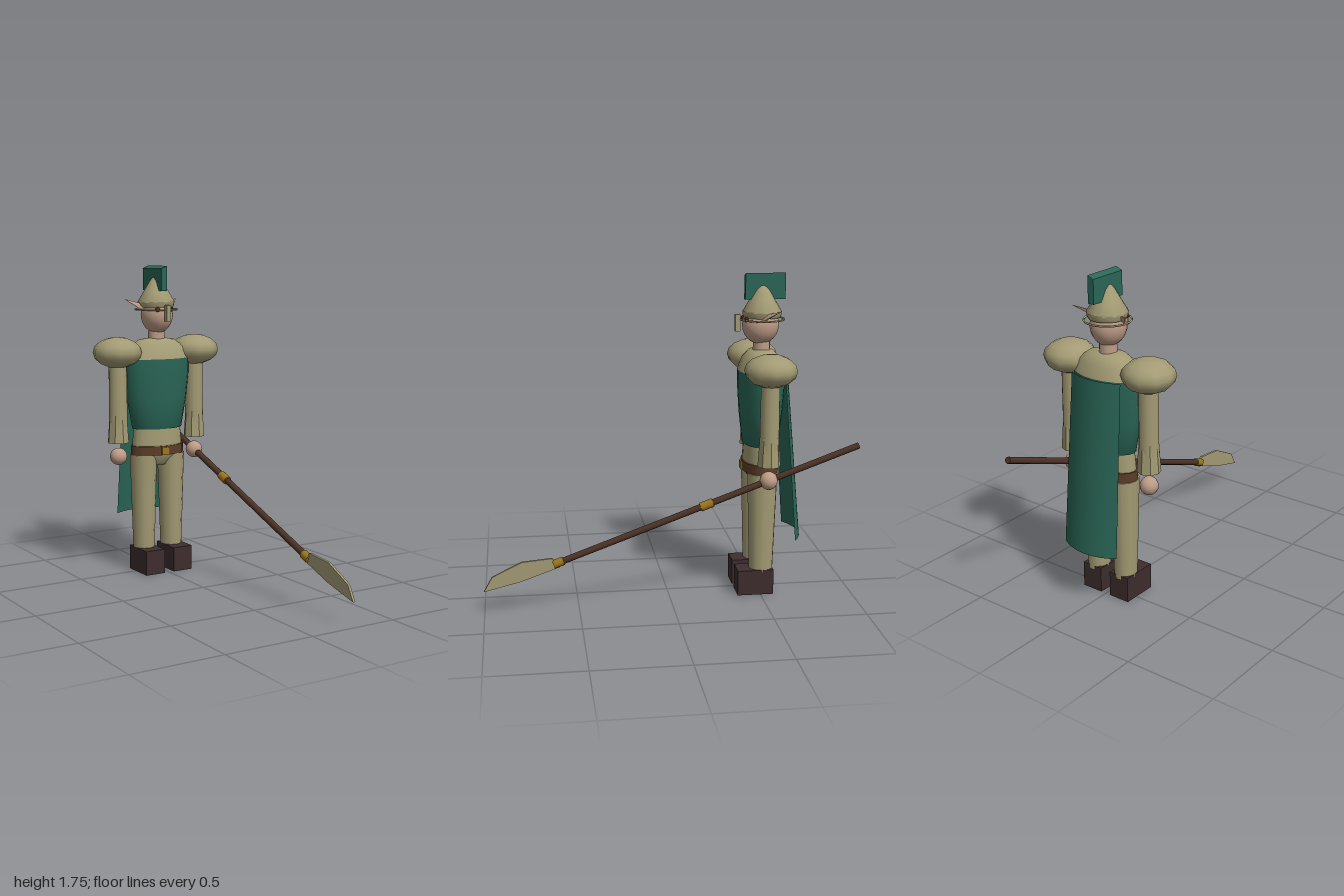
import * as THREE from 'three';

const mat = (name, color, side = THREE.FrontSide) => {
  const m = new THREE.MeshStandardMaterial({ color, side });
  m.name = name;
  return m;
};

export function createModel() {
  const armour = mat('khaki armour', 0xa39b74);
  const teal = mat('teal cloth', 0x2a6656, THREE.DoubleSide);
  const skin = mat('skin', 0xbd9c86);
  const boot = mat('dark boot leather', 0x3d2d2e);
  const leather = mat('brown belt leather', 0x5c3d28);
  const wood = mat('dark wood', 0x4b3226);
  const gold = mat('gold', 0x9c761c);
  const eyeRed = mat('dark red eye', 0x4c1d18);

  const model = new THREE.Group();
  const body = new THREE.Group();
  body.name = 'figure';
  body.position.z = -0.51;
  model.add(body);

  const add = (parent, name, geo, material, x = 0, y = 0, z = 0) => {
    const mesh = new THREE.Mesh(geo, material);
    mesh.name = name;
    mesh.position.set(x, y, z);
    parent.add(mesh);
    return mesh;
  };
  const lathe = (points, depth, sides = 20) =>
    new THREE.LatheGeometry(points.map(p => new THREE.Vector2(...p)), sides).scale(1, 1, depth);
  const tube = (top, bottom, y0, y1, sides = 12) =>
    new THREE.CylinderGeometry(top, bottom, y1 - y0, sides).translate(0, (y0 + y1) / 2, 0);

  // Torso, from hips to collar
  add(body, 'pelvis', lathe([[0, 0.615], [0.08, 0.617], [0.082, 0.63], [0.135, 0.67], [0.152, 0.74]], 0.63), armour);
  add(body, 'abdomen', lathe([[0.155, 0.72], [0.145, 0.84]], 0.6), armour);
  add(body, 'breastplate', lathe([[0.1, 0.83], [0.153, 0.83], [0.184, 1.0], [0.2, 1.15], [0.2, 1.23]], 0.62), teal);
  add(body, 'collar', lathe([[0.2, 1.23], [0.165, 1.295], [0.11, 1.335], [0.04, 1.345]], 0.62), armour);
  add(body, 'belt', tube(0.163, 0.163, 0.68, 0.732, 20).scale(1, 1, 0.61), leather);
  add(body, 'buckle', new THREE.BoxGeometry(0.05, 0.042, 0.02), gold, 0, 0.704, 0.096);

  // Limbs, mirrored
  for (const s of [1, -1]) {
    const side = s > 0 ? 'left' : 'right';
    add(body, side + 'Leg', tube(0.076, 0.06, 0.12, 0.68), armour, s * 0.09).scale.z = 1.09;
    add(body, side + 'Boot', new THREE.BoxGeometry(0.12, 0.14, 0.198), boot, s * 0.09, 0.07, 0.038);
    add(body, side + 'Arm', tube(0.05, 0.053, 0.77, 1.25), armour, s * 0.25);
    const cuff = tube(0.05, 0.062, 0.76, 0.93, 8).toNonIndexed();
    cuff.computeVertexNormals();
    add(body, side + 'Cuff', cuff, armour, s * 0.25);
    add(body, side + 'Hand', new THREE.SphereGeometry(0.049, 12, 10), skin, s * 0.25, 0.68);
    add(body, side + 'Pauldron', new THREE.SphereGeometry(0.14, 10, 8).scale(0.99, 0.62, 1), armour, s * 0.252, 1.27);

    // Swept back pointed ear
    const ear = add(body, side + 'Ear', new THREE.ConeGeometry(0.024, 0.13, 6).scale(1, 1, 0.4), skin, s * 0.125, 1.54, -0.03);
    ear.quaternion.setFromUnitVectors(new THREE.Vector3(0, 1, 0), new THREE.Vector3(s * 0.09, 0.05, -0.08).normalize());
    add(body, side + 'Eye', new THREE.SphereGeometry(0.014, 8, 6), eyeRed, s * 0.043, 1.508, 0.092);
  }

  // Head
  add(body, 'neck', tube(0.045, 0.048, 1.31, 1.41), skin);
  add(body, 'head', new THREE.SphereGeometry(0.1, 16, 12).scale(0.9, 1.07, 1), skin, 0, 1.477, 0.007);

  // Helmet
  add(body, 'helmetBand', lathe([[0.094, 1.515], [0.101, 1.53], [0.104, 1.55]], 1.03, 16), armour);
  add(body, 'helmetCone', lathe([[0.09, 1.543], [0.107, 1.545], [0.07, 1.608], [0.036, 1.665], [0, 1.705]], 1, 12), armour);
  add(body, 'helmetRim', new THREE.TorusGeometry(0.119, 0.005, 6, 24).rotateX(Math.PI / 2), armour, 0, 1.505);
  add(body, 'noseGuard', new THREE.BoxGeometry(0.024, 0.09, 0.028), armour, 0, 1.487, 0.131);

  // Crest with a slanted top edge
  const crest = new THREE.Shape([[-0.018, 1.61], [0.018, 1.61], [0.018, 1.75], [-0.018, 1.735]].map(p => new THREE.Vector2(...p)));
  add(body, 'crest', new THREE.ExtrudeGeometry(crest, { depth: 0.216, bevelEnabled: false }), teal, 0, 0, -0.122);

  // Cape: a curved sheet that widens and swings back toward the hem
  const cape = new THREE.PlaneGeometry(2, 1, 14, 4);
  const pos = cape.attributes.position;
  for (let i = 0; i < pos.count; i++) {
    const u = pos.getX(i), t = 0.5 - pos.getY(i);
    const width = 0.156 + 0.016 * t;
    const bulge = (0.04 + 0.014 * t) * (1 - u * u);
    pos.setXYZ(i, -u * width, 1.23 - 0.92 * t, -0.1 - 0.072 * t - bulge);
  }
  cape.computeVertexNormals();
  add(body, 'cape', cape, teal);

  // Spear, held low in the left hand, along its own z axis
  const spear = new THREE.Group();
  spear.name = 'spear';
  spear.position.set(0.25, 0.68, -0.51);
  spear.rotation.x = Math.PI / 9;
  model.add(spear);
  const rod = (name, radius, z0, z1, material) =>
    add(spear, name, tube(radius, radius, z0, z1, 8).rotateX(Math.PI / 2), material);
  rod('shaft', 0.018, -0.515, 1.18, wood);
  rod('middleRing', 0.025, 0.317, 0.387, gold);
  rod('headSocket', 0.024, 1.16, 1.215, gold);
  const blade = new THREE.Shape([[1.19, -0.024], [1.402, -0.022], [1.607, 0], [1.538, 0.059], [1.366, 0.077], [1.211, 0.036]]
    .map(p => new THREE.Vector2(...p)));
  add(spear, 'blade', new THREE.ExtrudeGeometry(blade, { depth: 0.014, bevelEnabled: false })
    .translate(0, 0, -0.007).rotateY(-Math.PI / 2), armour);

  return model;
}
